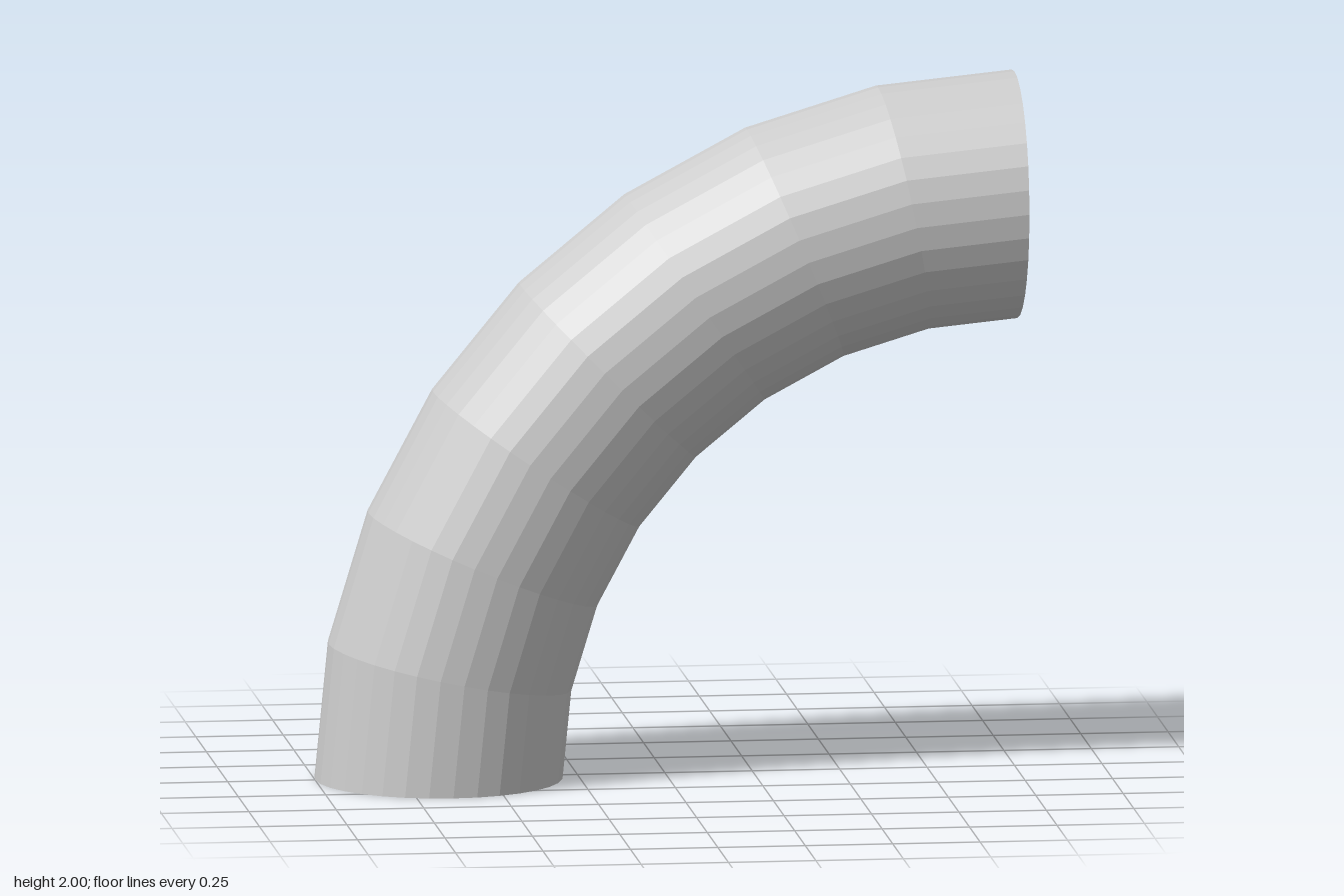
import * as THREE from 'three';

const BEND = 1.647;   // centreline radius of the elbow
const OUTER = 0.353;  // pipe outer radius
const INNER = 0.323;  // pipe bore radius
const SIDES = 32;
const STEPS = 8;

export function createModel() {
  const group = new THREE.Group();
  group.name = 'pipeElbow';
  const material = new THREE.MeshStandardMaterial({ color: 0xcccccc, flatShading: true });

  const add = (name, geometry) => {
    const mesh = new THREE.Mesh(geometry, material);
    mesh.name = name;
    group.add(mesh);
  };

  // Quarter bend running from the floor up to the +x opening
  const bend = (radius) =>
    new THREE.TorusGeometry(BEND, radius, SIDES, STEPS, Math.PI / 2)
      .rotateZ(Math.PI / 2)
      .translate(1, 0, 0);

  add('outerWall', bend(OUTER));

  // Bore: same bend, with the faces turned inward
  const bore = bend(INNER);
  bore.setIndex(Array.from(bore.index.array).reverse());
  const normals = bore.attributes.normal;
  for (let i = 0; i < normals.count; i++) {
    normals.setXYZ(i, -normals.getX(i), -normals.getY(i), -normals.getZ(i));
  }
  add('innerWall', bore);

  // Flat rims closing the wall thickness at both openings
  const rim = () => new THREE.RingGeometry(INNER, OUTER, SIDES);
  add('bottomRim', rim().rotateX(Math.PI / 2).translate(1 - BEND, 0, 0));
  add('sideRim', rim().rotateY(Math.PI / 2).translate(1, BEND, 0));

  return group;
}
